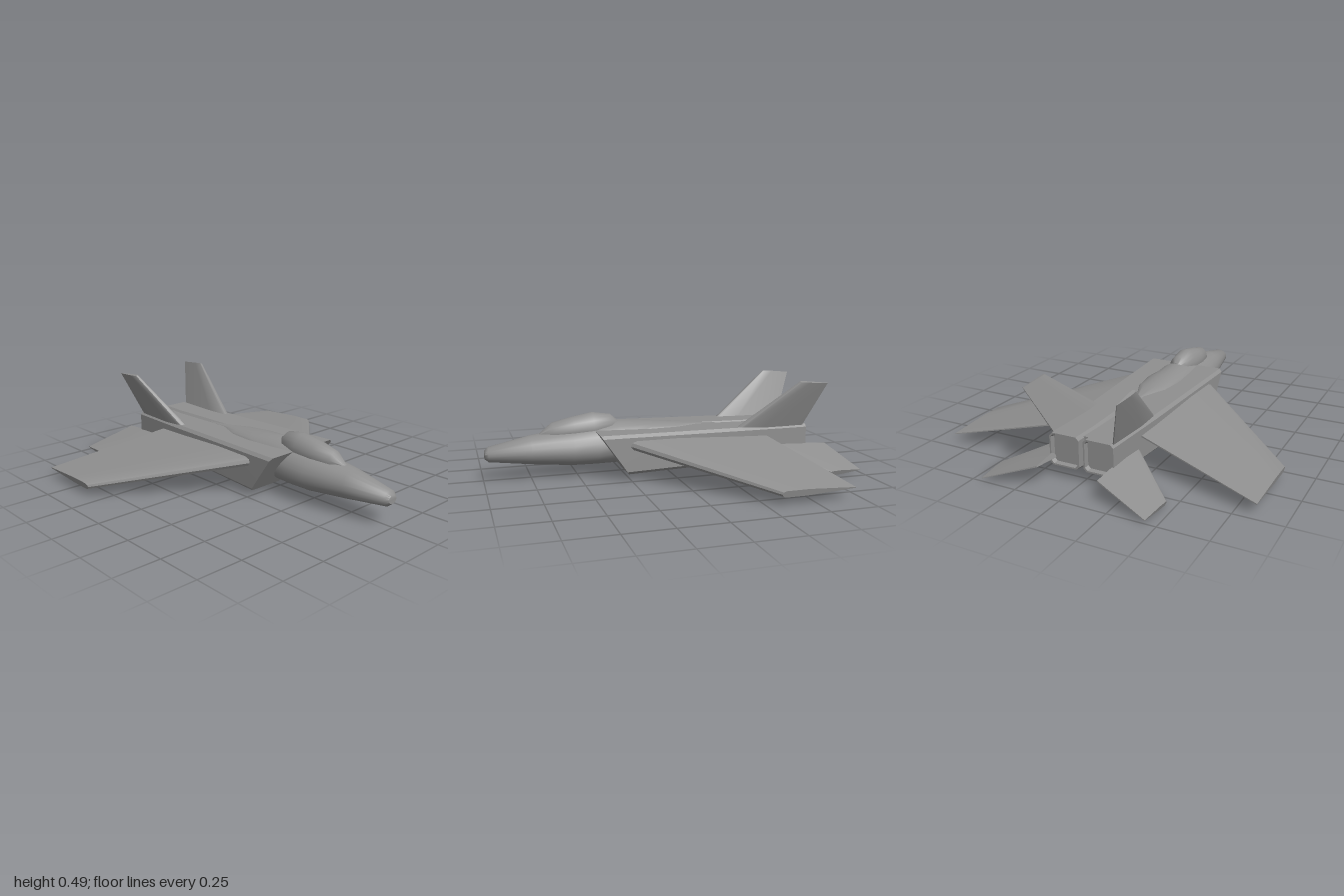
import * as THREE from 'three';
import { toCreasedNormals } from 'three/addons/utils/BufferGeometryUtils.js';

// Skin a list of equal-length rings of [x, y, z], closing both ends
function loft(rings, crease = 0.6) {
  const tris = [];
  const n = rings[0].length;
  for (let i = 0; i < rings.length - 1; i++) {
    for (let j = 0; j < n; j++) {
      const k = (j + 1) % n;
      const a = rings[i][j], b = rings[i][k], c = rings[i + 1][k], d = rings[i + 1][j];
      tris.push([a, b, c], [a, c, d]);
    }
  }
  const first = rings[0], last = rings[rings.length - 1];
  for (let j = 1; j < n - 1; j++) {
    tris.push([first[0], first[j + 1], first[j]], [last[0], last[j], last[j + 1]]);
  }
  // Signed volume decides which way the corners must run
  let volume = 0;
  for (const [a, b, c] of tris) {
    volume += a[0] * (b[1] * c[2] - b[2] * c[1])
      + a[1] * (b[2] * c[0] - b[0] * c[2])
      + a[2] * (b[0] * c[1] - b[1] * c[0]);
  }
  if (volume < 0) tris.forEach((t) => t.reverse());
  const g = new THREE.BufferGeometry();
  g.setAttribute('position', new THREE.Float32BufferAttribute(tris.flat(2), 3));
  return toCreasedNormals(g, crease);
}

const mirror = (rings) => rings.map((r) => r.map(([x, y, z]) => [-x, y, z]));

// Oval ring: half width w, top yt, widest height ym, bottom yb
function ovalRing([z, w, yt, ym, yb], n = 20) {
  return Array.from({ length: n }, (_, i) => {
    const a = (i / n) * Math.PI * 2, s = Math.sin(a);
    return [w * Math.cos(a), ym + s * (s > 0 ? yt - ym : ym - yb), z];
  });
}

// Rectangle with cut corners; zAt gives z for a height
function boxRing(x0, x1, y0, y1, c, zAt) {
  return [
    [x0 + c, y0], [x1 - c, y0], [x1, y0 + c], [x1, y1 - c],
    [x1 - c, y1], [x0 + c, y1], [x0, y1 - c], [x0, y0 + c],
  ].map(([x, y]) => [x, y, zAt(y)]);
}

// Aerofoil ring from leading to trailing point; thickness t along [nx, ny]
function foilRing(lead, trail, t, [nx, ny]) {
  const shape = [[0, 0], [0.015, 0.34], [0.05, 0.5], [0.35, 0.5], [1, 0.07],
    [1, -0.07], [0.35, -0.5], [0.05, -0.5], [0.015, -0.34]];
  return shape.map(([u, v]) => [
    lead[0] + (trail[0] - lead[0]) * u + nx * v * t,
    lead[1] + (trail[1] - lead[1]) * u + ny * v * t,
    lead[2] + (trail[2] - lead[2]) * u,
  ]);
}

export function createModel() {
  const group = new THREE.Group();
  group.name = 'jetAircraft';
  const grey = new THREE.MeshStandardMaterial({ color: 0x8f8f8f });
  grey.name = 'hull grey';

  const add = (name, geometry) => {
    const mesh = new THREE.Mesh(geometry, grey);
    mesh.name = name;
    group.add(mesh);
  };
  const addPair = (name, rings, crease) => {
    add('left' + name, loft(rings, crease));
    add('right' + name, loft(mirror(rings), crease));
  };

  // Nose and forward body, tapering into the spine
  add('fuselage', loft([
    [0.99, 0.03, 0.168, 0.147, 0.125],
    [0.97, 0.05, 0.188, 0.147, 0.108],
    [0.75, 0.092, 0.236, 0.15, 0.082],
    [0.53, 0.13, 0.264, 0.15, 0.062],
    [0.40, 0.13, 0.28, 0.15, 0.06],
    [0.27, 0.125, 0.294, 0.17, 0.06],
    [0.10, 0.108, 0.28, 0.235, 0.08],
    [-0.05, 0.09, 0.268, 0.238, 0.1],
    [-0.19, 0.03, 0.255, 0.235, 0.12],
    [-0.36, 0.005, 0.24, 0.225, 0.15],
  ].map((s) => ovalRing(s)), 0.8));

  // Cockpit canopy
  add('canopy', loft([
    [0.70, 0.012, 0.243, 0.235, 0.22],
    [0.63, 0.048, 0.3, 0.24, 0.2],
    [0.52, 0.07, 0.325, 0.25, 0.2],
    [0.41, 0.075, 0.345, 0.255, 0.2],
    [0.31, 0.058, 0.33, 0.265, 0.2],
    [0.27, 0.025, 0.295, 0.27, 0.2],
  ].map((s) => ovalRing(s)), 0.8));

  // Engine bodies with raked intakes and recessed square nozzles
  addPair('EngineBody', [
    boxRing(0.004, 0.238, 0.04, 0.256, 0.016, (y) => 0.41 - (0.256 - y) * 0.69),
    boxRing(0.004, 0.204, 0.052, 0.246, 0.016, () => -0.4),
    boxRing(0.004, 0.188, 0.056, 0.242, 0.016, () => -0.64),
    boxRing(0.012, 0.178, 0.07, 0.24, 0.016, () => -0.8),
    boxRing(0.02, 0.17, 0.078, 0.232, 0.014, () => -0.8),
    boxRing(0.024, 0.166, 0.082, 0.228, 0.014, () => -0.775),
  ], 0.3);

  // Filler between the engines
  const keel = new THREE.BoxGeometry(0.04, 0.15, 1);
  keel.translate(0, 0.155, -0.25);
  add('centreKeel', keel);

  // Main wings, drooping outwards
  const wingUp = [0.19, 0.98];
  addPair('Wing', [
    foilRing([0.17, 0.205, 0.31], [0.17, 0.193, -0.54], 0.056, wingUp),
    foilRing([0.86, 0.062, -0.32], [0.855, 0.062, -0.716], 0.034, wingUp),
  ]);

  // Tailplanes
  const tailUp = [0.33, 0.94];
  addPair('Tailplane', [
    foilRing([0.165, 0.115, -0.54], [0.165, 0.115, -0.93], 0.05, tailUp),
    foilRing([0.457, 0.018, -0.81], [0.444, 0.022, -1], 0.026, tailUp),
  ]);

  // Canted fins
  const finSide = [0.95, -0.3];
  addPair('Fin', [
    foilRing([0.163, 0.225, -0.355], [0.163, 0.225, -0.775], 0.04, finSide),
    foilRing([0.25, 0.498, -0.715], [0.25, 0.484, -0.886], 0.018, finSide),
  ]);

  return group;
}
